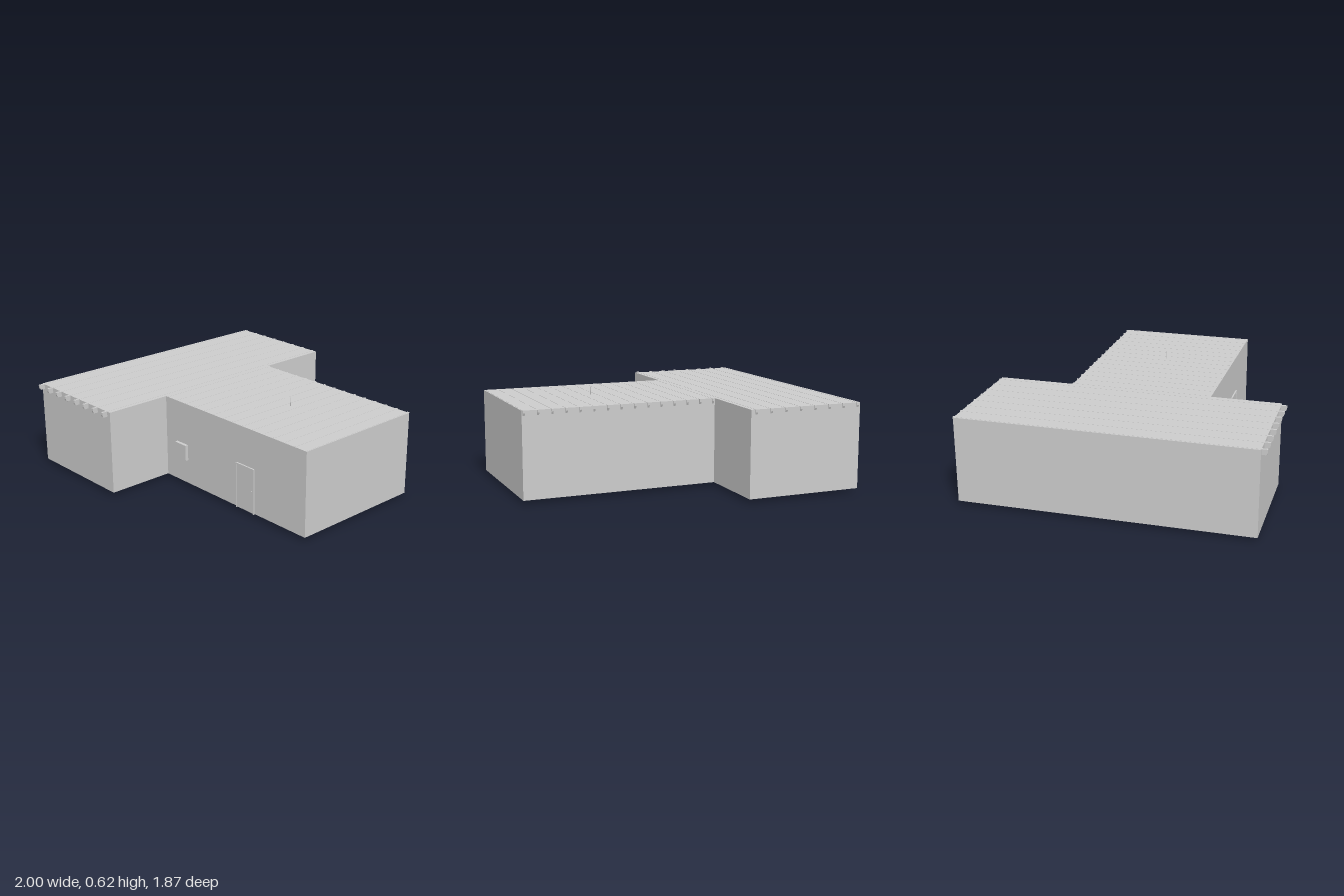
import * as THREE from 'three';

const material = new THREE.MeshStandardMaterial({ color: 0xcccccc, flatShading: true });

export function createModel() {
  const model = new THREE.Group();

  const add = (name, geometry, parent = model) => {
    const mesh = new THREE.Mesh(geometry, material);
    mesh.name = name;
    parent.add(mesh);
    return mesh;
  };

  // Box given by its minimum and maximum corners
  const box = (name, [x0, y0, z0], [x1, y1, z1], parent) => {
    const mesh = add(name, new THREE.BoxGeometry(x1 - x0, y1 - y0, z1 - z0), parent);
    mesh.position.set((x0 + x1) / 2, (y0 + y1) / 2, (z0 + z1) / 2);
    return mesh;
  };

  // Profile in (z, y), extruded along x and centred on the given x
  const profileX = (name, points, x, width, parent) => {
    const shape = new THREE.Shape(points.map(([z, y]) => new THREE.Vector2(-z, y)));
    const geometry = new THREE.ExtrudeGeometry(shape, { depth: width, bevelEnabled: false });
    geometry.rotateY(Math.PI / 2).translate(x - width / 2, 0, 0);
    return add(name, geometry, parent);
  };

  // T-shaped building body, one solid without inner walls
  const plan = [[-1, -0.932], [-0.25, -0.932], [-0.25, -0.446], [1, -0.446],
    [1, 0.457], [-0.25, 0.457], [-0.25, 0.9], [-1, 0.9]];
  const body = new THREE.Shape(plan.map(([x, z]) => new THREE.Vector2(x, -z)));
  const bodyGeometry = new THREE.ExtrudeGeometry(body, { depth: 0.54, bevelEnabled: false });
  add('building', bodyGeometry.rotateX(-Math.PI / 2).translate(0, 0.021, 0));

  // Roof beams of the cross block, with shaped tails over the front
  const top = 0.562;
  const mainBeams = new THREE.Group();
  mainBeams.name = 'mainRoofBeams';
  for (let i = 0; i < 8; i++) {
    profileX('mainRoofBeam', [[-0.938, top], [-0.938, 0.545], [-0.93, 0.528], [0.925, 0.528],
      [0.932, 0.533], [0.936, 0.545], [0.936, top]], -0.982 + i * 0.0995, 0.015, mainBeams);
  }
  model.add(mainBeams);

  // Roof beams of the long wing, with short tails at the back
  const wingBeams = new THREE.Group();
  wingBeams.name = 'wingRoofBeams';
  for (let i = 0; i < 15; i++) {
    profileX('wingRoofBeam', [[-0.454, top], [-0.454, 0.545], [-0.444, 0.525], [0.45, 0.525],
      [0.45, top]], -0.236 + i * 0.0874, 0.013, wingBeams);
  }
  model.add(wingBeams);

  // Door with frame and knob
  const door = new THREE.Group();
  door.name = 'door';
  box('doorPanel', [0.428, 0.022, 0.45], [0.57, 0.309, 0.463], door);
  box('doorFrameTop', [0.42, 0.309, 0.45], [0.577, 0.316, 0.467], door);
  for (const x of [0.42, 0.57]) {
    box('doorFrameSide', [x, 0.018, 0.45], [x + 0.007, 0.309, 0.467], door);
  }
  const knob = add('doorKnob', new THREE.SphereGeometry(0.004, 8, 6), door);
  knob.position.set(0.555, 0.165, 0.464);
  model.add(door);

  // Window box standing out from the wall
  box('window', [-0.145, 0.181, 0.45], [-0.041, 0.285, 0.478]);

  // Thin roof mast
  const mast = add('roofMast', new THREE.CylinderGeometry(0.0018, 0.0018, 0.055, 6));
  mast.position.set(0.417, 0.5875, 0);

  // Shallow slab under the floor, sloped at its front and back edges
  profileX('floorSlab', [[-0.005, 0.0], [0.332, 0.0], [0.347, 0.016], [0.347, 0.022],
    [-0.005, 0.022]], -0.0925, 0.305);

  return model;
}
